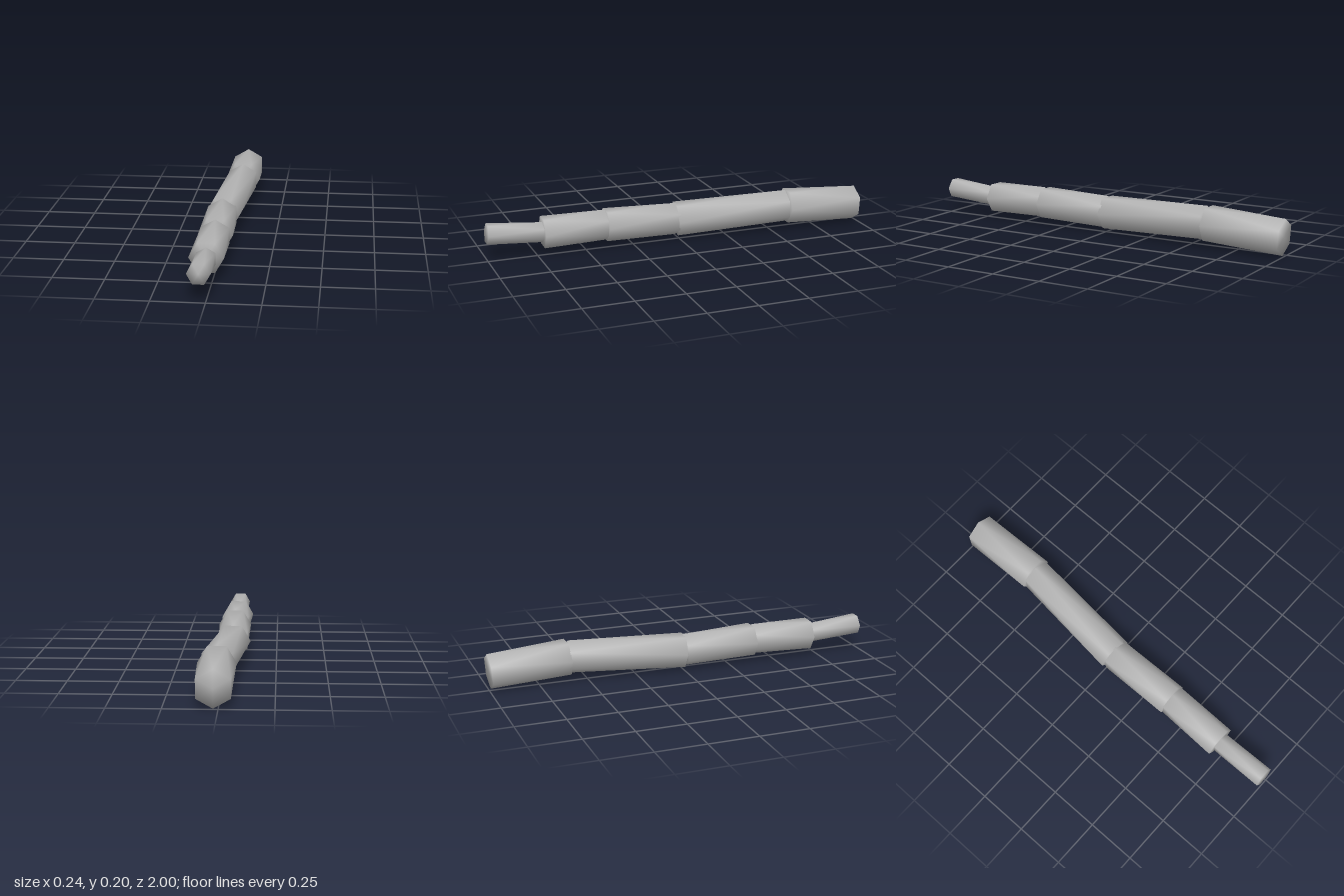
import * as THREE from 'three';

const SIDES = 6;

// One tapered stalk section: a hexagon at each end, the far one turned half a step.
function sectionGeometry(start, end, startRadius, endRadius) {
  const axis = end.clone().sub(start).normalize();
  const right = new THREE.Vector3().crossVectors(axis, new THREE.Vector3(0, 1, 0)).normalize();
  const up = new THREE.Vector3().crossVectors(right, axis);
  const positions = [];
  const addRing = (center, radius, turn) => {
    for (let i = 0; i < SIDES; i++) {
      const a = ((i + turn) / SIDES) * Math.PI * 2;
      const p = center.clone()
        .addScaledVector(right, Math.cos(a) * radius)
        .addScaledVector(up, Math.sin(a) * radius);
      positions.push(p.x, p.y, p.z);
    }
  };
  addRing(start, startRadius, 0);
  addRing(end, endRadius, 0.5);
  positions.push(...start.toArray(), ...end.toArray());

  // Walls of alternating triangles, with end caps sharing the rim so the ends shade softly.
  const index = [];
  const startCenter = SIDES * 2;
  const endCenter = startCenter + 1;
  for (let i = 0; i < SIDES; i++) {
    const j = (i + 1) % SIDES;
    index.push(i, SIDES + i, j, SIDES + i, SIDES + j, j);
    index.push(startCenter, i, j, endCenter, SIDES + j, SIDES + i);
  }
  const geometry = new THREE.BufferGeometry();
  geometry.setAttribute('position', new THREE.Float32BufferAttribute(positions, 3));
  geometry.setIndex(index);
  geometry.computeVertexNormals();
  return geometry;
}

export function createModel() {
  const model = new THREE.Group();
  model.name = 'bentStalk';
  const grey = new THREE.MeshStandardMaterial({ color: 0xb4b4b4 });
  grey.name = 'grey';

  // Joints from the thin front tip to the thick back end.
  const joints = [
    [-0.032, 0.136, 0.996],
    [-0.03, 0.112, 0.714],
    [-0.023, 0.115, 0.39],
    [-0.027, 0.102, 0.008],
    [0.026, 0.121, -0.592],
    [0.023, 0.094, -0.994],
  ].map((p) => new THREE.Vector3(...p));

  // Name, front radius and back radius of each section.
  const sections = [
    ['tip', 0.054, 0.052],
    ['frontSection', 0.083, 0.08],
    ['middleSection', 0.086, 0.084],
    ['longSection', 0.09, 0.085],
    ['backSection', 0.093, 0.091],
  ];
  sections.forEach(([name, r0, r1], i) => {
    const mesh = new THREE.Mesh(sectionGeometry(joints[i], joints[i + 1], r0, r1), grey);
    mesh.name = name;
    model.add(mesh);
  });
  return model;
}
